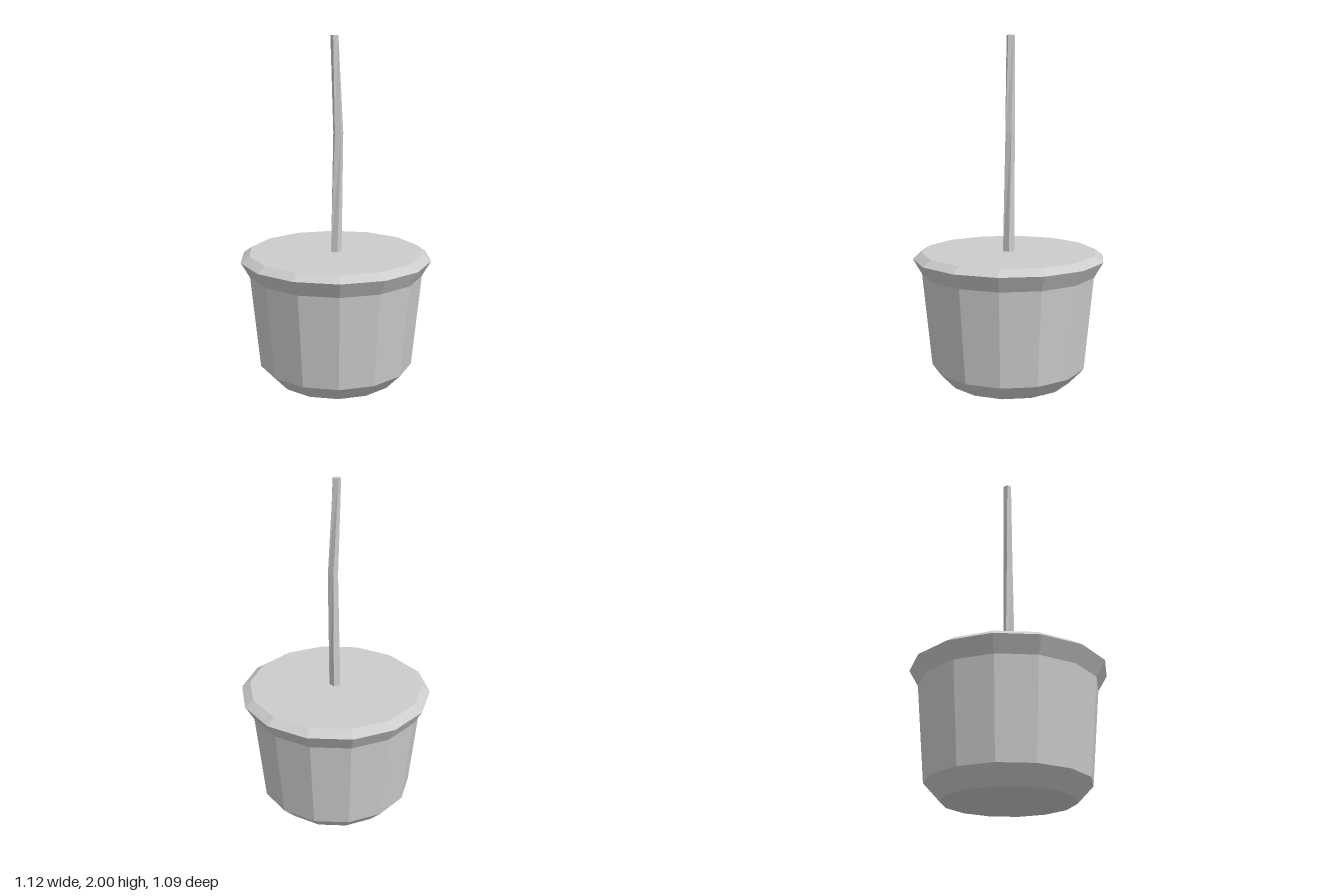
import * as THREE from 'three';

const gray = new THREE.MeshStandardMaterial({ color: 0xcccccc });
gray.name = 'light gray';

// Faceted cup: 14-sided turned body with chamfered foot and flared rim
function makeCup() {
  const profile = [[0, 0], [0.365, 0], [0.455, 0.095], [0.508, 0.64], [0.56, 0.73], [0.51, 0.765], [0, 0.765]]
    .map(([r, y]) => new THREE.Vector2(r, y));
  const geo = new THREE.LatheGeometry(profile, 14, Math.PI / 2).toNonIndexed();
  geo.computeVertexNormals();
  const mesh = new THREE.Mesh(geo, gray);
  mesh.name = 'cup';
  return mesh;
}

// Bent, twisted wick: pentagonal rings joined by triangulated sides
function makeWick() {
  const sides = 5;
  const rings = [
    { x: 0, y: 0.76, z: 0.003, r: 0.035, turn: 0 },
    { x: 0.015, y: 1.46, z: 0.002, r: 0.03, turn: 18 },
    { x: -0.002, y: 2, z: -0.0105, r: 0.0245, turn: 36 },
  ].map(({ x, y, z, r, turn }) => Array.from({ length: sides }, (_, i) => {
    const a = THREE.MathUtils.degToRad(turn + i * 360 / sides);
    return new THREE.Vector3(x + r * Math.sin(a), y, z + r * Math.cos(a));
  }));

  const points = [];
  for (let k = 0; k < rings.length - 1; k++) {
    for (let i = 0; i < sides; i++) {
      const j = (i + 1) % sides;
      const a = rings[k][i], b = rings[k][j], c = rings[k + 1][j], d = rings[k + 1][i];
      points.push(a, b, c, a, c, d);
    }
  }
  // Flat tip
  const tip = rings[rings.length - 1];
  for (let i = 1; i < sides - 1; i++) points.push(tip[0], tip[i], tip[i + 1]);

  const geo = new THREE.BufferGeometry().setFromPoints(points);
  geo.computeVertexNormals();
  const mesh = new THREE.Mesh(geo, gray);
  mesh.name = 'wick';
  return mesh;
}

export function createModel() {
  const group = new THREE.Group();
  group.name = 'candle';
  group.add(makeCup(), makeWick());
  return group;
}
